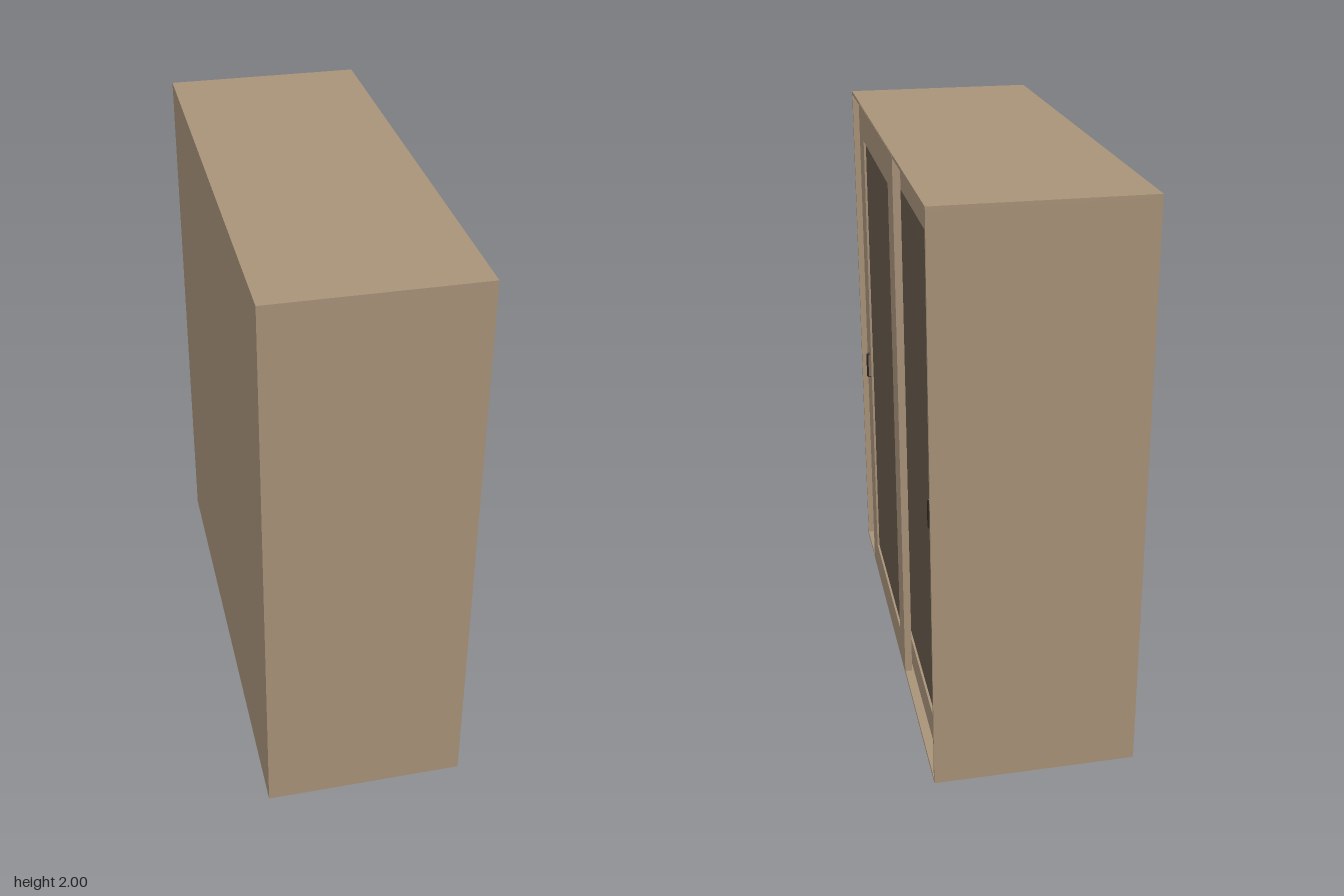
import * as THREE from 'three';

const wood = new THREE.MeshStandardMaterial({ color: 0xa89279 });
const dark = new THREE.MeshStandardMaterial({ color: 0x675a4b });
const steel = new THREE.MeshStandardMaterial({ color: 0x7d858c });
const black = new THREE.MeshStandardMaterial({ color: 0x2b2724 });

// Box given by its extents along x, y and z
function slab(parent, name, [x0, x1], [y0, y1], [z0, z1], material = wood) {
  const mesh = new THREE.Mesh(new THREE.BoxGeometry(x1 - x0, y1 - y0, z1 - z0), material);
  mesh.position.set((x0 + x1) / 2, (y0 + y1) / 2, (z0 + z1) / 2);
  mesh.name = name;
  parent.add(mesh);
}

function rectangle(PathType, w, y0, y1) {
  return new PathType([[-w, y0], [w, y0], [w, y1], [-w, y1]].map(p => new THREE.Vector2(...p)));
}

// Bow handle standing on a face at x = 0, projecting along +x
function makeHandle() {
  const path = new THREE.CurvePath();
  const points = [[-0.004, 0.9], [0.011, 0.9], [0.011, 1.0], [-0.004, 1.0]]
    .map(([x, y]) => new THREE.Vector3(x, y, 0));
  for (let i = 0; i < 3; i++) path.add(new THREE.LineCurve3(points[i], points[i + 1]));
  const mesh = new THREE.Mesh(new THREE.TubeGeometry(path, 36, 0.004, 8), black);
  mesh.name = 'handle';
  return mesh;
}

// Sliding door: frame with an inset panel, front face at x = front
function makeDoor(name, front, z, y0, y1, handleZ) {
  const door = new THREE.Group();
  door.name = name;
  const shape = rectangle(THREE.Shape, 0.45, y0, y1);
  shape.holes.push(rectangle(THREE.Path, 0.33, 0.13, 1.875));
  const geometry = new THREE.ExtrudeGeometry(shape, { depth: 0.026, bevelEnabled: false });
  geometry.rotateY(Math.PI / 2);
  const frame = new THREE.Mesh(geometry, wood);
  frame.name = 'doorFrame';
  frame.position.x = -0.026;
  door.add(frame);
  slab(door, 'doorPanel', [-0.02, -0.008], [0.13, 1.875], [-0.33, 0.33], dark);
  const handle = makeHandle();
  handle.position.z = handleZ - z;
  door.add(handle);
  door.position.set(front, 0, z);
  return door;
}

export function createModel() {
  const wardrobe = new THREE.Group();
  wardrobe.name = 'wardrobe';

  // Outer casing
  const depth = [-0.36, 0.34];
  slab(wardrobe, 'backPanel', [-0.36, -0.345], [0, 2], [-0.89, 0.89]);
  slab(wardrobe, 'topCasing', depth, [1.988, 2], [-0.89, 0.89]);
  slab(wardrobe, 'bottomCasing', depth, [0, 0.012], [-0.89, 0.89]);
  for (const s of [-1, 1]) {
    const span = (a, b) => (s > 0 ? [a, b] : [-b, -a]);
    slab(wardrobe, 'sideCasing', depth, [0.012, 1.988], span(0.878, 0.89));
    slab(wardrobe, 'sidePanel', [-0.345, 0.27], [0.012, 1.988], span(0.853, 0.878));
  }

  // Inner carcass
  const inside = [-0.345, 0.27];
  slab(wardrobe, 'carcassTop', inside, [1.97, 1.988], [-0.853, 0.853]);
  slab(wardrobe, 'carcassBottom', inside, [0.012, 0.045], [-0.853, 0.853]);
  slab(wardrobe, 'divider', inside, [0.045, 1.97], [0.025, 0.05]);

  // Shelves and hanging rail
  slab(wardrobe, 'hatShelf', inside, [1.722, 1.74], [0.05, 0.853]);
  for (const y of [0.525, 1.025, 1.42, 1.722]) {
    slab(wardrobe, 'shelf', inside, [y, y + 0.018], [-0.853, 0.025]);
  }
  const rail = new THREE.Mesh(new THREE.CylinderGeometry(0.016, 0.016, 0.803, 24), steel);
  rail.name = 'hangingRail';
  rail.rotation.x = Math.PI / 2;
  rail.position.set(-0.03, 1.58, 0.4515);
  wardrobe.add(rail);

  // Sliding doors on two tracks
  wardrobe.add(makeDoor('outerDoor', 0.341, 0.21, 0.003, 1.997, 0.575));
  wardrobe.add(makeDoor('innerDoor', 0.31, -0.36, 0.022, 1.978, -0.74));
  return wardrobe;
}
